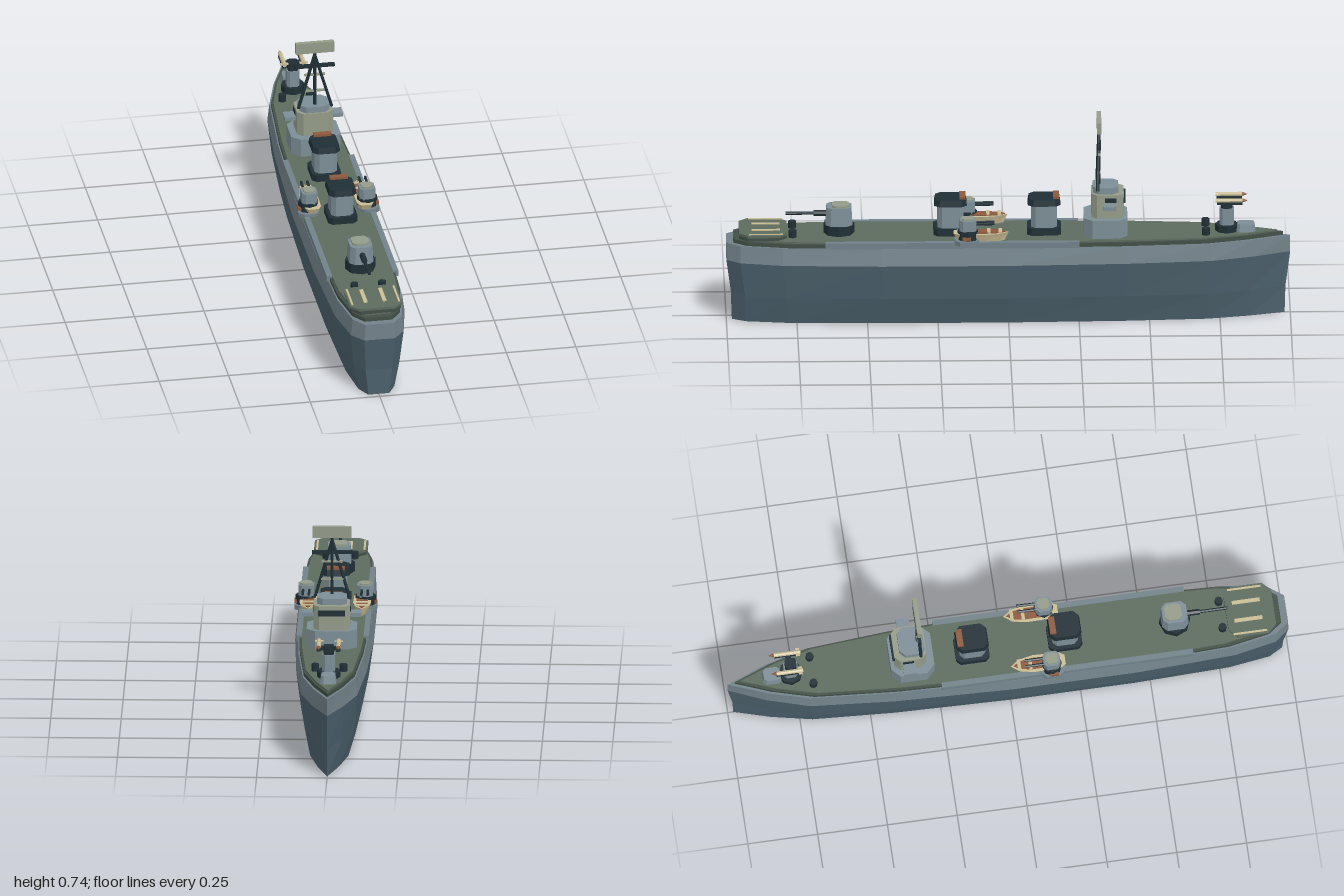
import * as THREE from 'three';

const mat = (name, color, extra = {}) => Object.assign(
  new THREE.MeshStandardMaterial({ color, flatShading: true, ...extra }), { name });
const M = {
  lower: mat('lower hull slate', 0x4b606c),
  upper: mat('upper hull grey', 0x72828a),
  deck: mat('deck green', 0x5d6b5e),
  rim: mat('deck edge green', 0x424f47),
  grey: mat('superstructure grey', 0x7d8e97),
  dark: mat('dark steel', 0x1f2f36),
  beige: mat('pale olive', 0x949c89),
  cream: mat('cream', 0xcabd95),
  rust: mat('rust brown', 0x8c5a3e),
};

// Stacks a convex outline (x, z) at several levels [y, scaleX, scaleZ] and caps both ends
function loft(outline, levels) {
  const pos = [], n = outline.length;
  const pt = (l, i) => [outline[i % n][0] * l[1], l[0], outline[i % n][1] * l[2]];
  for (let i = 0; i < n; i++) {
    for (let k = 0; k + 1 < levels.length; k++) {
      const a = pt(levels[k], i), b = pt(levels[k], i + 1);
      const c = pt(levels[k + 1], i + 1), d = pt(levels[k + 1], i);
      pos.push(...a, ...b, ...c, ...a, ...c, ...d);
    }
    const lo = levels[0], hi = levels[levels.length - 1];
    pos.push(0, hi[0], 0, ...pt(hi, i), ...pt(hi, i + 1));
    pos.push(0, lo[0], 0, ...pt(lo, i + 1), ...pt(lo, i));
  }
  const g = new THREE.BufferGeometry();
  g.setAttribute('position', new THREE.Float32BufferAttribute(pos, 3));
  g.computeVertexNormals();
  return g;
}

function add(parent, name, geo, material, x = 0, y = 0, z = 0) {
  const m = new THREE.Mesh(geo, material);
  m.name = name;
  m.position.set(x, y, z);
  parent.add(m);
  return m;
}

const box = (p, name, material, w, h, d, x, y, z) =>
  add(p, name, new THREE.BoxGeometry(w, h, d), material, x, y, z);

// Box with cut vertical corners, standing from y0 to y1, with an optional narrower top
function block(p, name, material, w, d, y0, y1, x, z, cut = 0.015, top = 1) {
  const a = w / 2, b = d / 2;
  const o = [[-a + cut, -b], [-a, -b + cut], [-a, b - cut], [-a + cut, b],
    [a - cut, b], [a, b - cut], [a, -b + cut], [a - cut, -b]];
  return add(p, name, loft(o, [[y0, 1, 1], [y1, top, top]]), material, x, 0, z);
}

// Straight round bar between two points
function bar(p, name, material, from, to, r, sides = 6) {
  const a = new THREE.Vector3(...from), b = new THREE.Vector3(...to);
  const m = add(p, name, new THREE.CylinderGeometry(r, r, a.distanceTo(b), sides), material);
  m.position.copy(a).lerp(b, 0.5);
  m.quaternion.setFromUnitVectors(new THREE.Vector3(0, 1, 0), b.sub(a).normalize());
  return m;
}

const drum = (p, name, material, r, y0, y1, x, z, sides = 8) =>
  add(p, name, new THREE.CylinderGeometry(r, r, y1 - y0, sides), material, x, (y0 + y1) / 2, z);

function group(parent, name) {
  const g = new THREE.Group();
  g.name = name;
  parent.add(g);
  return g;
}

export function createModel() {
  const ship = new THREE.Group();
  ship.name = 'warship';

  // Hull and deck share one plan outline, bow toward -z
  const half = [[0, -1], [-0.055, -0.87], [-0.1, -0.72], [-0.125, -0.42], [-0.14, 0],
    [-0.14, 0.45], [-0.125, 0.8], [-0.095, 0.95], [-0.055, 1]];
  const plan = [...half, ...half.slice(1).reverse().map(([x, z]) => [-x, z])];
  const hull = group(ship, 'hull');
  add(hull, 'lowerHull', loft(plan, [[0, 0.68, 0.98], [0.1, 0.87, 0.983], [0.228, 1, 1]]), M.lower);
  add(hull, 'upperHull', loft(plan, [[0.228, 1, 1], [0.29, 0.93, 1]]), M.upper);
  add(hull, 'deckEdge', loft(plan, [[0.29, 0.9, 0.975], [0.304, 0.9, 0.975]]), M.rim);
  add(hull, 'deck', loft(plan, [[0.304, 0.84, 0.955], [0.31, 0.84, 0.955]]), M.deck);
  for (const s of [-1, 1]) {
    box(hull, 'sideWalkway', M.upper, 0.02, 0.022, 0.9, s * 0.119, 0.301, 0.2);
    for (const z of [-0.7, 0.765]) drum(hull, 'bollard', M.dark, 0.014, 0.305, 0.336, s * 0.05, z);
  }

  // Landing pad with painted stripes
  const pad = group(ship, 'landingPad');
  block(pad, 'padBase', M.rim, 0.18, 0.17, 0.308, 0.322, 0, 0.87, 0.03);
  block(pad, 'padTop', M.deck, 0.19, 0.17, 0.322, 0.331, 0, 0.87, 0.03);
  for (const s of [-1, 1]) {
    box(pad, 'innerStripe', M.cream, 0.014, 0.003, 0.1, s * 0.034, 0.332, 0.86);
    box(pad, 'edgeStripe', M.cream, 0.007, 0.003, 0.12, s * 0.084, 0.332, 0.86);
  }

  // Stern gun turret
  const gun = group(ship, 'sternTurret');
  drum(gun, 'turretRing', M.dark, 0.055, 0.308, 0.345, 0, 0.6);
  block(gun, 'turretHouse', M.grey, 0.086, 0.096, 0.345, 0.41, 0, 0.6, 0.018, 0.92);
  block(gun, 'turretRoof', M.beige, 0.06, 0.06, 0.41, 0.417, 0, 0.595, 0.012);
  bar(gun, 'gunSleeve', M.dark, [0, 0.382, 0.64], [0, 0.382, 0.69], 0.011, 8);
  bar(gun, 'gunBarrel', M.dark, [0, 0.382, 0.66], [0, 0.382, 0.79], 0.006, 8);

  // Two funnels
  for (const z of [0.205, -0.127]) {
    const f = group(ship, 'funnel');
    block(f, 'funnelBase', M.dark, 0.105, 0.12, 0.308, 0.335, 0, z);
    block(f, 'funnelBody', M.grey, 0.08, 0.092, 0.335, 0.418, 0, z);
    block(f, 'funnelCap', M.dark, 0.1, 0.116, 0.418, 0.441, 0, z, 0.018, 0.93);
    box(f, 'funnelVent', M.rust, 0.064, 0.012, 0.022, 0, 0.444, z - 0.043);
  }

  // Bridge
  const bridge = group(ship, 'bridge');
  block(bridge, 'bridgeBase', M.grey, 0.178, 0.155, 0.308, 0.377, 0, -0.345, 0.03);
  block(bridge, 'bridgeTower', M.beige, 0.13, 0.115, 0.377, 0.464, 0, -0.352, 0.02);
  block(bridge, 'bridgeRoof', M.grey, 0.106, 0.09, 0.464, 0.487, 0, -0.345, 0.02);
  box(bridge, 'bridgeWing', M.grey, 0.21, 0.014, 0.046, 0, 0.427, -0.36);
  box(bridge, 'frontWindow', M.dark, 0.094, 0.02, 0.012, 0, 0.44, -0.41);
  for (const s of [-1, 1]) box(bridge, 'sideWindow', M.dark, 0.006, 0.016, 0.04, s * 0.064, 0.445, -0.362);

  // Tripod mast and radar
  const mast = group(ship, 'mast'), mz = -0.322;
  bar(mast, 'mastPole', M.dark, [0, 0.48, mz], [0, 0.7, mz], 0.006);
  for (const s of [-1, 1])
    bar(mast, 'mastLeg', M.dark, [s * 0.06, 0.478, mz + 0.006], [0, 0.685, mz], 0.006);
  box(mast, 'yardArm', M.dark, 0.142, 0.011, 0.013, 0, 0.641, mz);
  box(mast, 'upperRung', M.beige, 0.074, 0.007, 0.008, 0, 0.606, mz);
  box(mast, 'lowerRung', M.beige, 0.08, 0.007, 0.008, 0, 0.542, mz);
  box(mast, 'radarPanel', M.beige, 0.138, 0.041, 0.016, 0, 0.715, mz);

  // Boats and midship guns on both sides
  const boatPlan = [[0, -0.1], [-0.022, -0.07], [-0.032, -0.02], [-0.03, 0.075], [-0.018, 0.095],
    [0.018, 0.095], [0.03, 0.075], [0.032, -0.02], [0.022, -0.07]];
  for (const s of [-1, 1]) {
    const boat = group(ship, 'lifeboat');
    add(boat, 'boatHull', loft(boatPlan, [[0.31, 0.65, 0.85], [0.341, 1, 1]]), M.cream, s * 0.095, 0, 0.1);
    add(boat, 'boatInside', loft(boatPlan, [[0.34, 0.65, 0.8], [0.345, 0.65, 0.8]]), M.rust, s * 0.095, 0, 0.09);
    for (const z of [0.03, 0.07]) box(boat, 'boatSeat', M.cream, 0.042, 0.006, 0.012, s * 0.095, 0.345, z);

    const side = group(ship, 'sideGun');
    block(side, 'gunPlatform', M.upper, 0.076, 0.09, 0.303, 0.32, s * 0.108, 0.148, 0.02);
    drum(side, 'gunRing', M.dark, 0.036, 0.32, 0.353, s * 0.106, 0.145);
    block(side, 'gunHouse', M.grey, 0.056, 0.06, 0.349, 0.392, s * 0.104, 0.145, 0.012);
    block(side, 'gunRoof', M.beige, 0.04, 0.042, 0.392, 0.398, s * 0.104, 0.145, 0.008);
    box(side, 'ammunitionBox', M.rust, 0.012, 0.012, 0.03, s * 0.14, 0.329, 0.15);
    for (const d of [-0.011, 0.011])
      bar(side, 'sideBarrel', M.dark, [s * 0.104 + d, 0.376, 0.12], [s * 0.104 + d, 0.378, 0.05], 0.005);
  }

  // Bow launcher with two missiles
  const launcher = group(ship, 'bowLauncher');
  block(launcher, 'launcherHatch', M.grey, 0.058, 0.07, 0.308, 0.338, 0, -0.842, 0.012, 0.85);
  drum(launcher, 'launcherRing', M.dark, 0.042, 0.308, 0.334, 0, -0.775);
  block(launcher, 'launcherPost', M.grey, 0.046, 0.05, 0.334, 0.395, 0, -0.775, 0.01);
  block(launcher, 'launcherHead', M.dark, 0.036, 0.04, 0.395, 0.425, 0, -0.775, 0.006);
  box(launcher, 'launcherArm', M.dark, 0.076, 0.012, 0.02, 0, 0.416, -0.78);
  for (const s of [-1, 1]) {
    box(launcher, 'launchRail', M.dark, 0.014, 0.008, 0.09, s * 0.035, 0.421, -0.785);
    bar(launcher, 'missileBody', M.cream, [s * 0.035, 0.432, -0.735], [s * 0.035, 0.432, -0.83], 0.008, 8);
    const tip = add(launcher, 'missileTip', new THREE.ConeGeometry(0.008, 0.02, 8), M.rust, s * 0.035, 0.432, -0.84);
    tip.rotation.x = -Math.PI / 2;
    box(launcher, 'missileFin', M.cream, 0.03, 0.003, 0.014, s * 0.035, 0.432, -0.745);
  }
  return ship;
}
